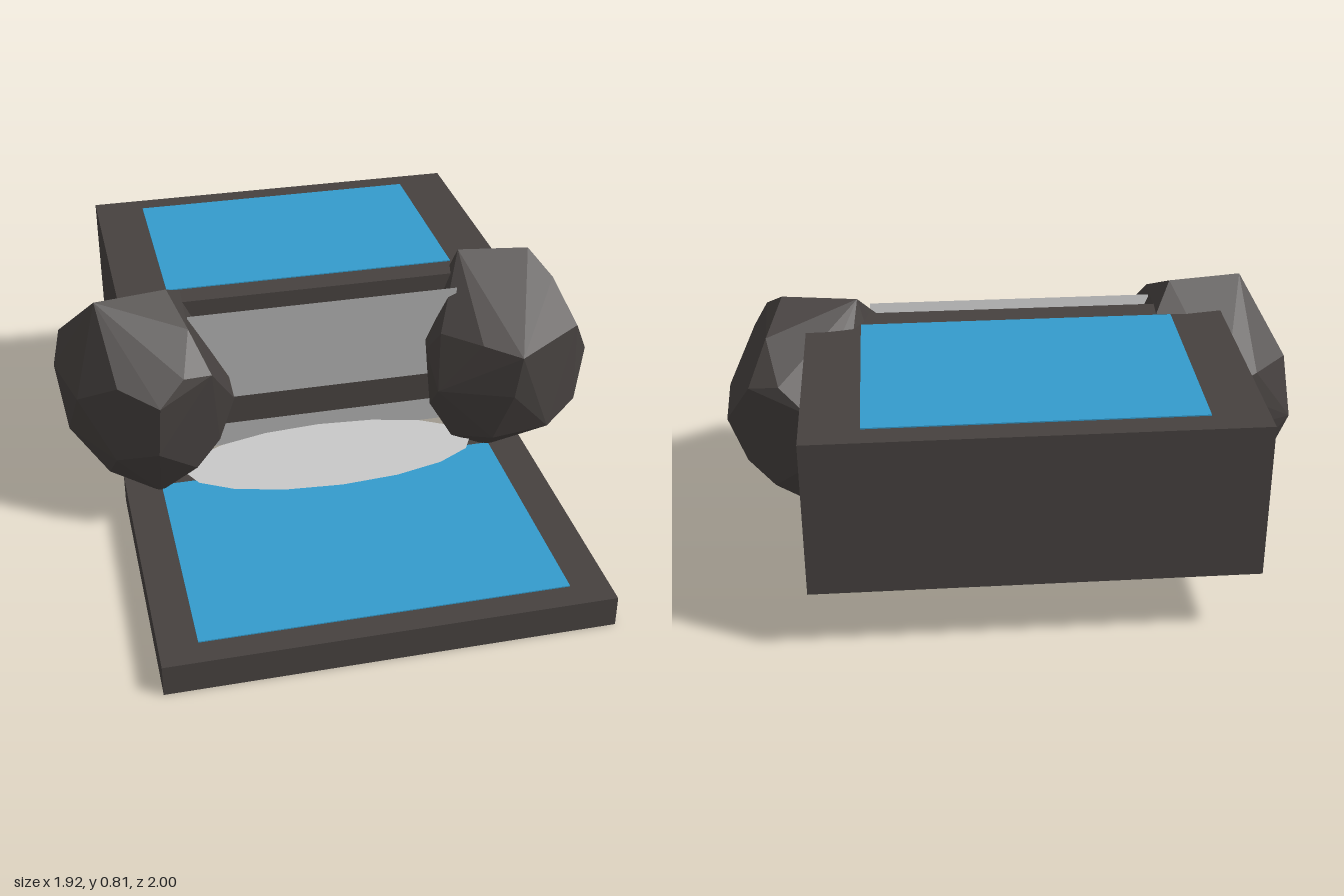
import * as THREE from 'three';
import { ConvexGeometry } from 'three/addons/geometries/ConvexGeometry.js';

// Boulder corner points, as x, y, z triples
const BOULDER = [
  // outer face and crown
  0.96, 0.43, -0.02, 0.95, 0.43, -0.27, 0.87, 0.6, 0.1, 0.86, 0.6, -0.38,
  0.81, 0.74, -0.02, 0.8, 0.73, -0.28, 0.75, 0.81, -0.13, 0.6, 0.77, -0.1, 0.5, 0.81, -0.17,
  // front
  0.62, 0.58, 0.25, 0.6, 0.42, 0.24, 0.75, 0.25, 0.19, 0.5, 0.6, 0.17, 0.55, 0.22, 0.18,
  // inner side
  0.48, 0.68, -0.03, 0.38, 0.6, 0.05, 0.35, 0.5, -0.02, 0.36, 0.4, 0.11,
  0.38, 0.25, -0.05, 0.43, 0.18, 0.07, 0.41, 0.5, -0.27,
  // back
  0.67, 0.55, -0.48, 0.66, 0.35, -0.45, 0.76, 0.62, -0.42, 0.54, 0.6, -0.4, 0.52, 0.3, -0.37,
  // underside
  0.58, 0.09, 0.03, 0.62, 0.03, -0.13, 0.72, 0.09, -0.03, 0.81, 0.17, -0.1,
  0.89, 0.28, 0.08, 0.89, 0.28, -0.29, 0.67, 0.1, -0.3, 0.5, 0.17, -0.24, 0.8, 0.2, -0.33,
];

export function createModel() {
  const model = new THREE.Group();
  model.name = 'waterfallPools';

  const stone = new THREE.MeshStandardMaterial({ color: 0x46413f });
  stone.name = 'darkStone';
  const water = new THREE.MeshStandardMaterial({ color: 0x349bcc });
  water.name = 'blueWater';
  const foam = new THREE.MeshStandardMaterial({ color: 0xc8c8c8, side: THREE.DoubleSide });
  foam.name = 'paleFoam';

  const add = (name, geometry, material) => {
    const mesh = new THREE.Mesh(geometry, material);
    mesh.name = name;
    model.add(mesh);
    return mesh;
  };

  // Box given by its lowest and highest corners
  const block = (name, material, [x0, y0, z0], [x1, y1, z1]) => {
    const mesh = add(name, new THREE.BoxGeometry(x1 - x0, y1 - y0, z1 - z0), material);
    mesh.position.set((x0 + x1) / 2, (y0 + y1) / 2, (z0 + z1) / 2);
  };

  // Two basins with inset water surfaces
  block('lowerBasin', stone, [-0.76, 0, -0.04], [0.71, 0.108, 1]);
  block('lowerWater', water, [-0.635, 0.106, 0.05], [0.58, 0.112, 0.91]);
  block('upperBasin', stone, [-0.72, 0.22, -1], [0.67, 0.738, -0.13]);
  block('upperWater', water, [-0.545, 0.736, -0.92], [0.49, 0.742, -0.225]);

  // Falling sheet, leaning forward at the top
  const top = { y: 0.73, z: -0.035 };
  const bottom = { y: 0.09, z: -0.187 };
  const rise = top.y - bottom.y;
  const run = top.z - bottom.z;
  const sheet = add('waterfallSheet', new THREE.PlaneGeometry(0.96, Math.hypot(rise, run)), foam);
  sheet.position.set(-0.02, (top.y + bottom.y) / 2, (top.z + bottom.z) / 2);
  sheet.rotation.x = Math.atan2(run, rise);

  // Shallow splash with a flat top where the sheet lands
  const splash = add('splash', new THREE.CylinderGeometry(1, 0.02, 0.055, 16), foam);
  splash.scale.set(0.53, 1, 0.2);
  splash.position.set(-0.02, 0.1255, 0.05);

  // Boulders: the second is the first shifted across and turned front to back
  const boulder = (name, shift, turned) => {
    const points = [];
    for (let i = 0; i < BOULDER.length; i += 3) {
      const z = BOULDER[i + 2];
      points.push(new THREE.Vector3(BOULDER[i] + shift, BOULDER[i + 1], turned ? -0.23 - z : z));
    }
    add(name, new ConvexGeometry(points), stone);
  };
  boulder('leftBoulder', 0, false);
  boulder('rightBoulder', -1.31, true);

  return model;
}
